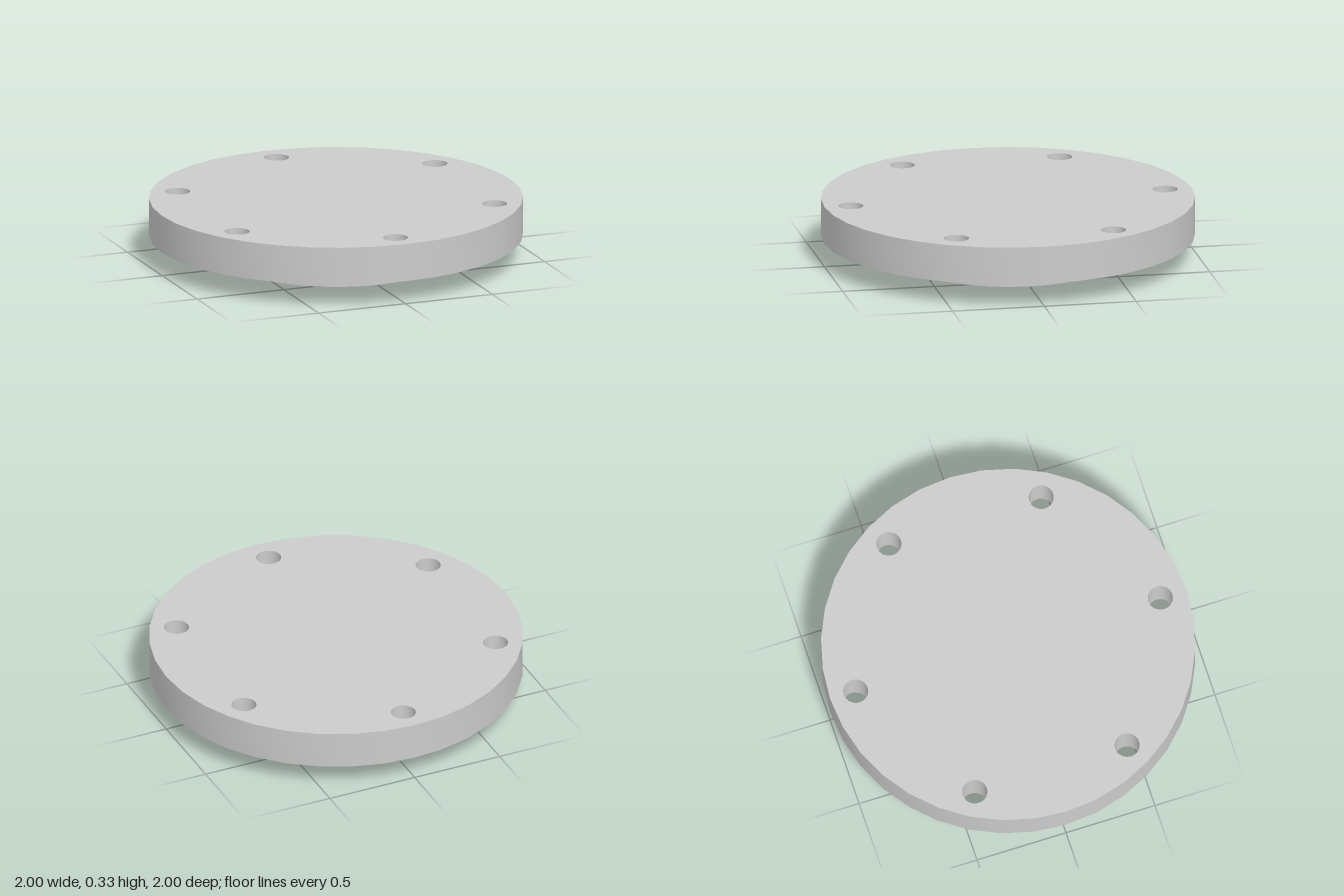
import * as THREE from 'three';
import { toCreasedNormals } from 'three/addons/utils/BufferGeometryUtils.js';

const SEGMENTS = 36;
const HUB_HEIGHT = 0.125;
const PLATE_HEIGHT = 0.205;

// Corner points of a regular polygon that stands in for a circle
function circlePoints(cx, cy, radius) {
  return Array.from({ length: SEGMENTS }, (_, i) => {
    const a = (i / SEGMENTS) * Math.PI * 2;
    return new THREE.Vector2(cx + radius * Math.cos(a), cy + radius * Math.sin(a));
  });
}

export function createModel() {
  const group = new THREE.Group();
  group.name = 'blindFlange';
  const material = new THREE.MeshStandardMaterial({ color: 0xcccccc });

  // Flange plate with six bolt holes on a circle
  const outline = new THREE.Shape(circlePoints(0, 0, 1));
  for (let i = 0; i < 6; i++) {
    const a = Math.PI / 2 + (i * Math.PI) / 3;
    const hole = circlePoints(0.856 * Math.cos(a), 0.856 * Math.sin(a), 0.067);
    outline.holes.push(new THREE.Path(hole.reverse()));
  }
  const plateGeometry = new THREE.ExtrudeGeometry(outline, { depth: PLATE_HEIGHT, bevelEnabled: false });
  plateGeometry.rotateX(-Math.PI / 2);
  const plate = new THREE.Mesh(toCreasedNormals(plateGeometry, Math.PI / 6), material);
  plate.name = 'flangePlate';
  plate.position.y = HUB_HEIGHT;
  group.add(plate);

  // Raised round boss under the plate
  const hub = new THREE.Mesh(new THREE.CylinderGeometry(0.597, 0.597, HUB_HEIGHT, SEGMENTS), material);
  hub.name = 'locatingBoss';
  hub.position.y = HUB_HEIGHT / 2;
  group.add(hub);

  return group;
}
